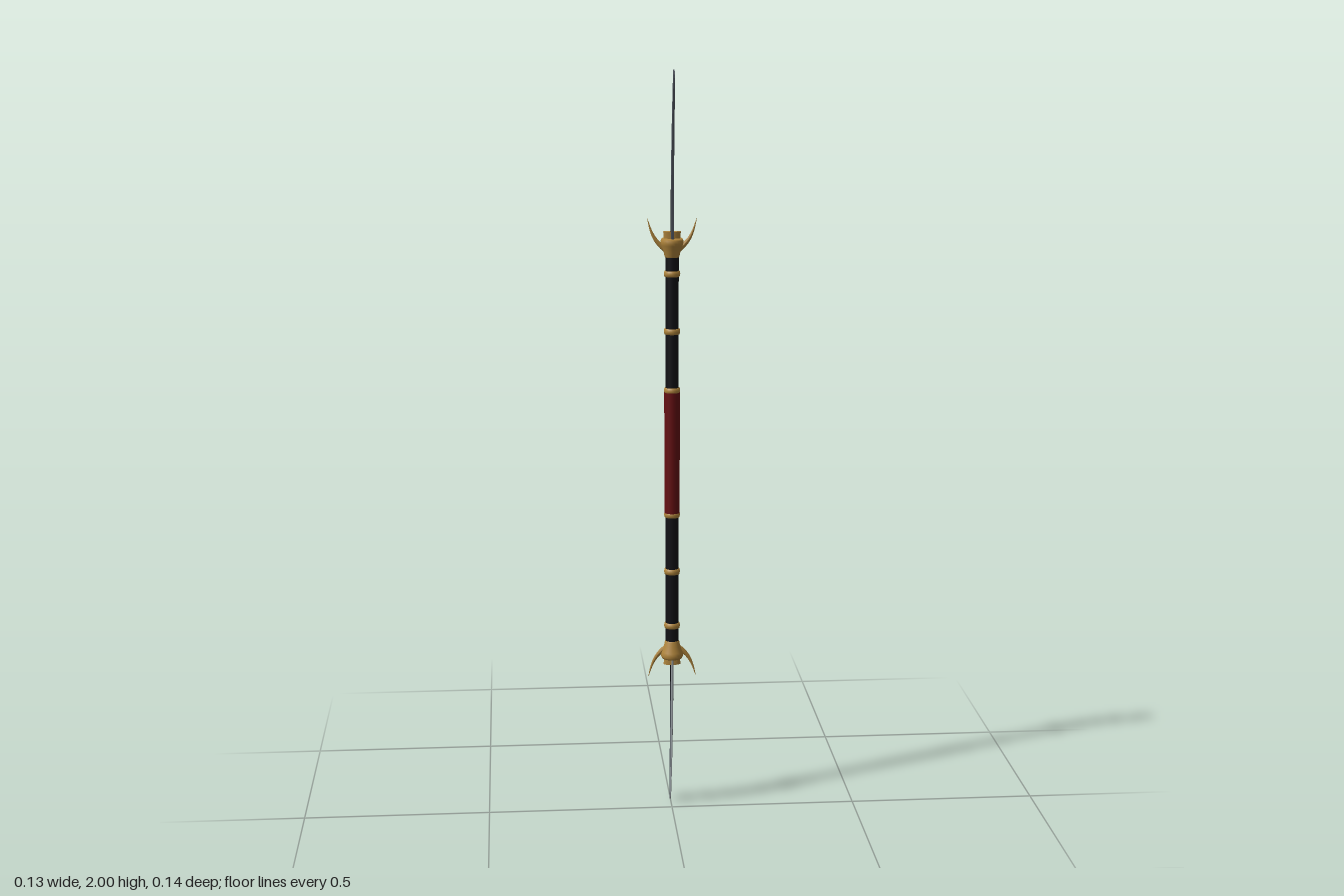
import * as THREE from 'three';

const mat = (name, color, side = THREE.FrontSide) => {
  const m = new THREE.MeshStandardMaterial({ color, side });
  m.name = name;
  return m;
};

export function createModel() {
  const black = mat('black lacquer', 0x111115);
  const red = mat('red grip', 0x650f12);
  const gold = mat('gold', 0xb0853c);
  const steel = mat('dark steel', 0x4b5059, THREE.DoubleSide);
  const bright = mat('bright edge', 0x90979b, THREE.DoubleSide);

  const add = (parent, name, geometry, material, y = 0) => {
    const mesh = new THREE.Mesh(geometry, material);
    mesh.name = name;
    mesh.position.y = y;
    parent.add(mesh);
    return mesh;
  };
  const lathe = (pts) => new THREE.LatheGeometry(pts.map(([r, y]) => new THREE.Vector2(r, y)), 24);

  // Surface of flat strips joining successive pairs of lines
  const strips = (pairs) => {
    const pos = [];
    for (const [a, b] of pairs) {
      for (let i = 0; i < a.length - 1; i++) {
        for (const p of [a[i], b[i], b[i + 1], a[i], b[i + 1], a[i + 1]]) pos.push(...p);
      }
    }
    const g = new THREE.BufferGeometry();
    g.setAttribute('position', new THREE.Float32BufferAttribute(pos, 3));
    g.computeVertexNormals();
    return g;
  };

  // Blade outline: height, spine z, cutting edge z
  const front = new THREE.SplineCurve([[0.56, 0.021], [0.66, 0.023], [0.77, 0.034], [0.85, 0.047],
    [0.92, 0.061], [0.98, 0.071], [1.0, 0.061]].map(([y, z]) => new THREE.Vector2(z, y)));
  const back = new THREE.SplineCurve([[0.56, -0.024], [0.66, -0.02], [0.77, -0.008], [0.85, 0.007],
    [0.92, 0.024], [0.97, 0.042], [1.0, 0.059]].map(([y, z]) => new THREE.Vector2(z, y)));
  const N = 24;
  const line = (across, x) => Array.from({ length: N + 1 }, (_, i) => {
    const f = front.getPoint(i / N), b = back.getPoint(i / N);
    const p = f.lerp(b, across);
    const taper = 1 - 0.5 * (i / N);
    return [x * taper, p.y, p.x];
  });

  // Tapering curved prong
  const prongGeometry = () => {
    const curve = new THREE.CatmullRomCurve3([[0.015, 0.538], [0.03, 0.55], [0.045, 0.568],
      [0.056, 0.592], [0.064, 0.62]].map(([x, y]) => new THREE.Vector3(x, y, 0)));
    const seg = 14, sides = 8;
    const g = new THREE.TubeGeometry(curve, seg, 0.008, sides);
    const p = g.attributes.position, v = new THREE.Vector3();
    for (let i = 0; i < p.count; i++) {
      const t = Math.floor(i / (sides + 1)) / seg;
      const c = curve.getPointAt(t);
      v.fromBufferAttribute(p, i).sub(c).multiplyScalar(1 - 0.95 * t);
      v.z *= 0.55;
      v.add(c);
      p.setXYZ(i, v.x, v.y, v.z);
    }
    g.computeVertexNormals();
    return g;
  };

  const half = (name) => {
    const h = new THREE.Group();
    h.name = name;

    // Shaft and rings
    add(h, 'shaft', new THREE.CylinderGeometry(0.0175, 0.0175, 0.37, 24), black, 0.345);
    for (const y of [0.168, 0.325, 0.476]) {
      add(h, 'ring', lathe([[0.0165, -0.008], [0.02, -0.007], [0.0215, 0], [0.02, 0.007], [0.0165, 0.008]]), gold, y);
    }

    // Flared collar and oval socket
    add(h, 'collar', lathe([[0.017, 0.518], [0.0195, 0.522], [0.022, 0.534], [0.028, 0.55],
      [0.0295, 0.556], [0.0295, 0.563], [0.027, 0.568], [0, 0.568]]), gold);
    const socket = add(h, 'socket', new THREE.CylinderGeometry(0.023, 0.021, 0.02, 24), gold, 0.576);
    socket.scale.z = 0.5;

    // Pair of prongs
    for (const turn of [0, Math.PI]) {
      add(h, 'prong', prongGeometry(), gold).rotation.y = turn;
    }

    // Blade body, bevelled cutting edge and root plate
    const t = 0.0035, ridge = 0.64;
    add(h, 'bladeBody', strips([[line(0, -t), line(0, t)], [line(0, t), line(ridge, t)],
      [line(ridge, -t), line(0, -t)]]), steel);
    add(h, 'bladeEdge', strips([[line(ridge, t), line(1, 0)], [line(1, 0), line(ridge, -t)]]), bright);
    const root = new THREE.Shape([[0.008, 0.57], [0.012, 0.66], [0.011, 0.695], [0.004, 0.66], [-0.002, 0.57]]
      .map(([z, y]) => new THREE.Vector2(-z, y)));
    const rootGeometry = new THREE.ExtrudeGeometry(root, { depth: 0.009, bevelEnabled: false });
    rootGeometry.translate(0, 0, -0.0045).rotateY(Math.PI / 2);
    add(h, 'bladeRoot', rootGeometry, black);
    return h;
  };

  const model = new THREE.Group();
  model.name = 'doubleBladedStaff';
  add(model, 'grip', new THREE.CylinderGeometry(0.0205, 0.0205, 0.326, 24), red, 1);
  const upper = half('upperHalf');
  const lower = half('lowerHalf');
  upper.position.y = lower.position.y = 1;
  lower.rotation.x = Math.PI;
  model.add(upper, lower);
  return model;
}
